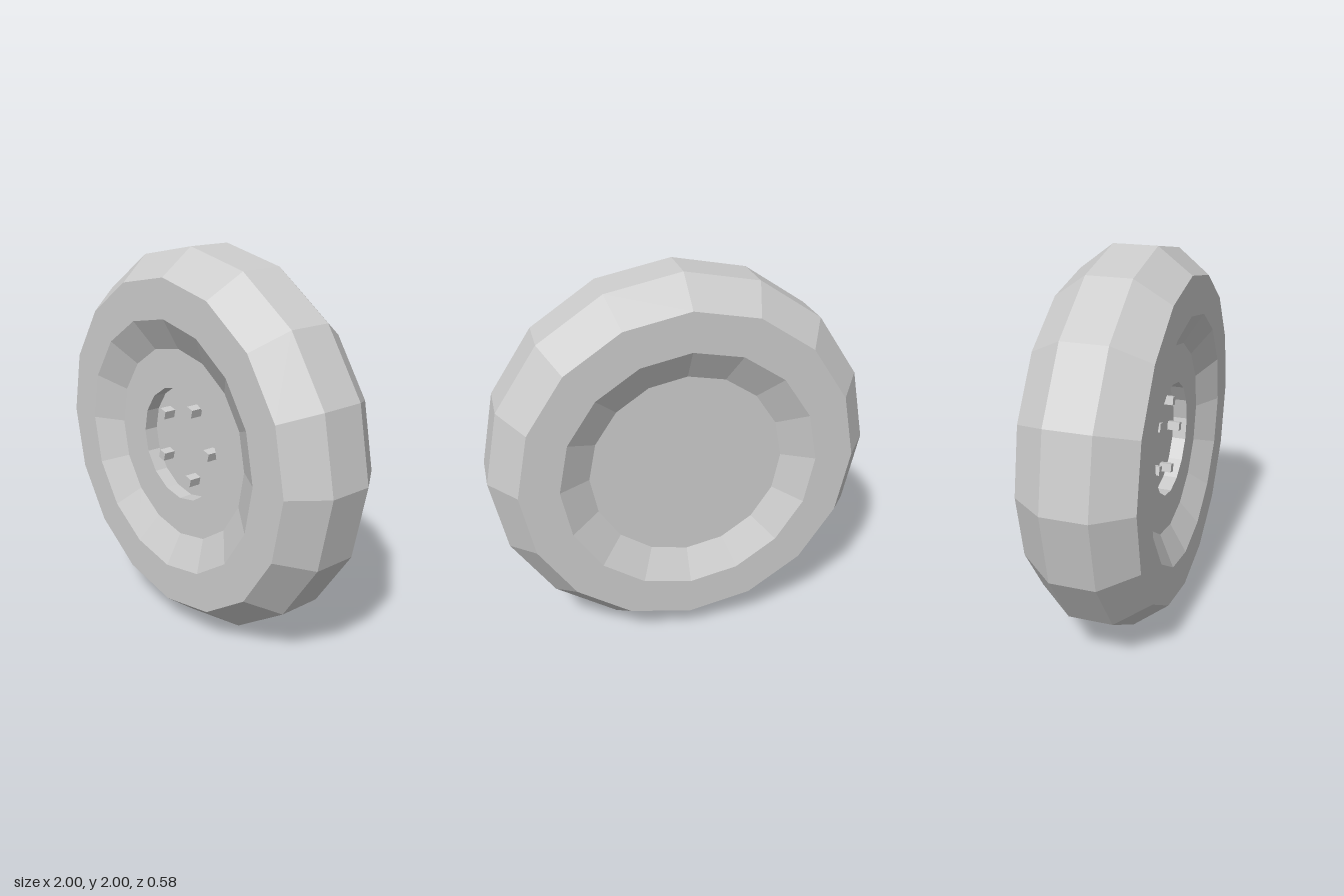
import * as THREE from 'three';

const SIDES = 16;
const AXLE_Y = 1;

function createPart(geometry, name) {
  const material = new THREE.MeshStandardMaterial({ color: 0xcccccc, flatShading: true });
  const mesh = new THREE.Mesh(geometry, material);
  mesh.name = name;
  return mesh;
}

// Revolves [radius, z] pairs, listed back to front, around the z axis.
function revolve(profile, name) {
  const points = profile.map(([r, z]) => new THREE.Vector2(r, z));
  const geometry = new THREE.LatheGeometry(points, SIDES);
  geometry.rotateX(Math.PI / 2);
  return createPart(geometry, name);
}

export function createModel() {
  const model = new THREE.Group();
  model.name = 'wheel';
  const wheel = new THREE.Group();
  wheel.name = 'wheelAssembly';
  wheel.position.y = AXLE_Y;
  model.add(wheel);

  // Tyre: flat tread, bevelled shoulders, flat sidewalls and sloped rim lips
  wheel.add(revolve([
    [0.505, -0.2], [0.665, -0.29], [0.867, -0.29], [1, -0.115],
    [1, 0.115], [0.867, 0.29], [0.665, 0.29], [0.505, 0.2],
  ], 'tyre'));

  // Plain disc closing the back
  wheel.add(revolve([[0, -0.2], [0.505, -0.2]], 'backDisc'));

  // Front disc with the round hub recess
  wheel.add(revolve([[0.505, 0.2], [0.3, 0.2], [0.3, 0.125], [0, 0.125]], 'frontDisc'));

  // Five square lug nuts on the recess floor
  for (let i = 0; i < 5; i++) {
    const angle = THREE.MathUtils.degToRad(-2.5 + i * 72);
    const nut = createPart(new THREE.BoxGeometry(0.045, 0.045, 0.065), 'lugNut');
    nut.position.set(0.2 * Math.cos(angle), 0.2 * Math.sin(angle), 0.157);
    nut.rotation.z = THREE.MathUtils.degToRad(-15);
    wheel.add(nut);
  }

  return model;
}
